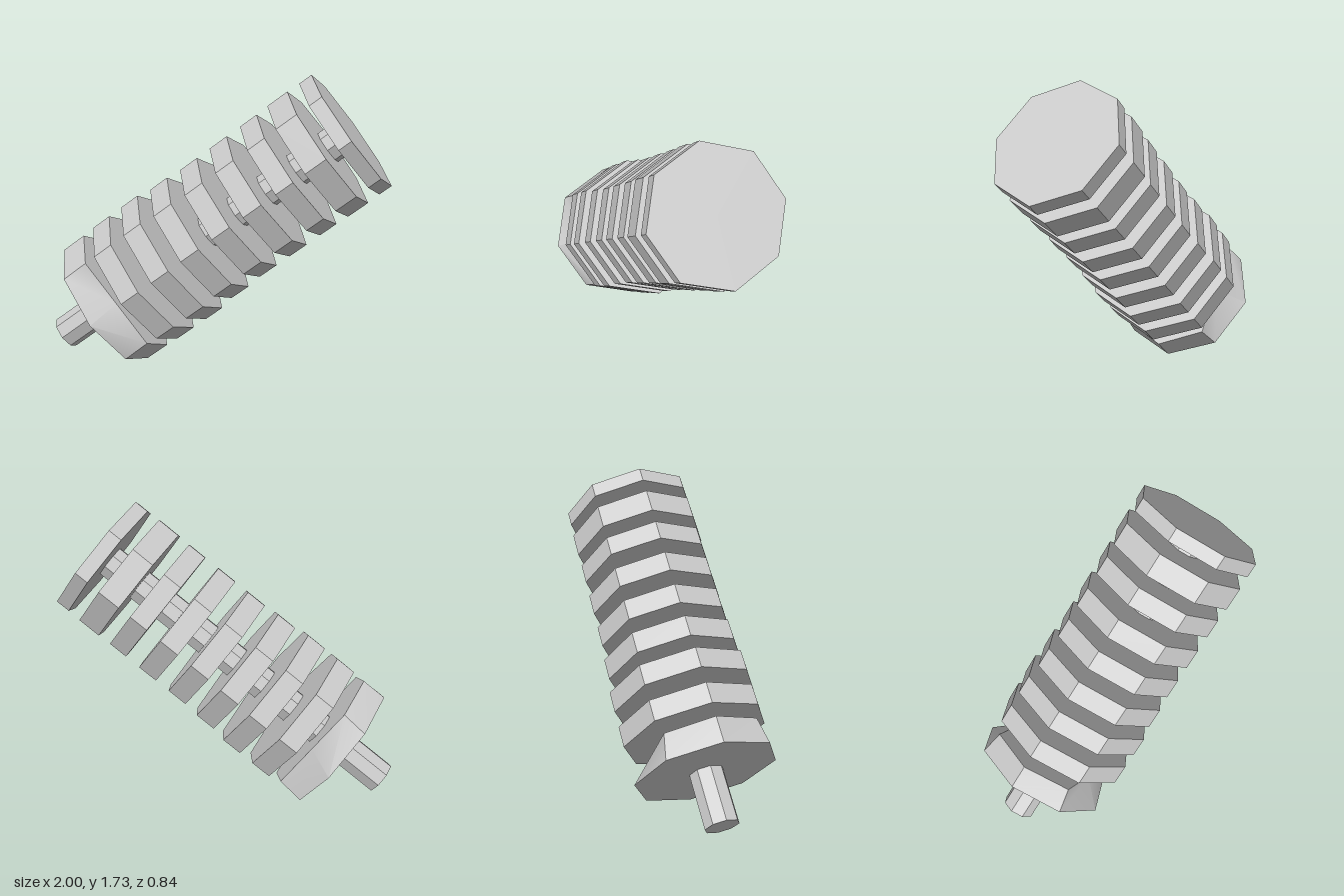
import * as THREE from 'three';
import { toCreasedNormals } from 'three/addons/utils/BufferGeometryUtils.js';

const SIDES = 8;

export function createModel() {
  const model = new THREE.Group();
  model.name = 'finnedShaft';
  const material = new THREE.MeshStandardMaterial({ color: 0xcccccc });

  // Everything is stacked along local y, which leans towards +x
  const stack = new THREE.Group();
  stack.name = 'stack';
  stack.position.set(-0.62, 0.384, 0);
  stack.rotation.z = -Math.atan2(0.8, 0.6);
  model.add(stack);

  const add = (name, geometry, y) => {
    const mesh = new THREE.Mesh(toCreasedNormals(geometry, 0.7), material);
    mesh.name = name;
    mesh.position.y = y;
    stack.add(mesh);
  };

  // Central rod, protruding below the first disc
  const rodStart = -0.394, rodEnd = 1.68;
  add('rod', new THREE.CylinderGeometry(0.1, 0.1, rodEnd - rodStart, SIDES), (rodStart + rodEnd) / 2);

  // Bottom disc: its upper rim is cut straight at both sides
  const base = new THREE.CylinderGeometry(0.416, 0.416, 0.152, SIDES);
  const p = base.attributes.position;
  for (let i = 0; i < p.count; i++) {
    if (p.getY(i) > 0) p.setZ(i, THREE.MathUtils.clamp(p.getZ(i), -0.265, 0.265));
  }
  add('baseDisc', base, 0);

  // Remaining discs: position along the rod, radius, thickness
  const discs = [
    [0.215, 0.42, 0.123],
    [0.431, 0.42, 0.122],
    [0.639, 0.403, 0.125],
    [0.854, 0.393, 0.123],
    [1.071, 0.393, 0.123],
    [1.288, 0.392, 0.117],
    [1.496, 0.395, 0.14],
    [1.689, 0.391, 0.085],
  ];
  discs.forEach(([y, r, t], i) => {
    const name = i === discs.length - 1 ? 'topDisc' : `disc${i + 2}`;
    add(name, new THREE.CylinderGeometry(r, r, t, SIDES), y);
  });

  return model;
}
